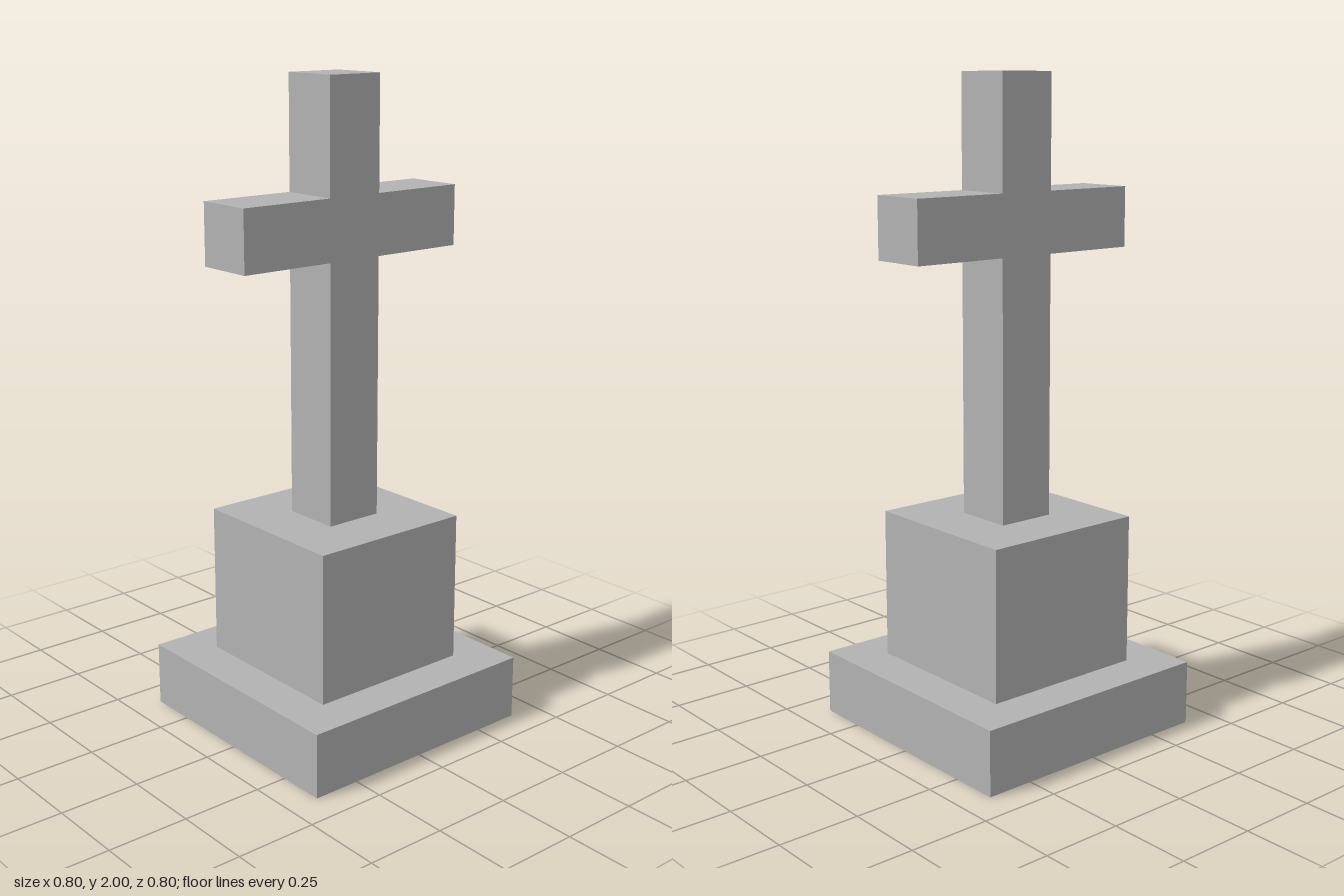
import * as THREE from 'three';

export function createModel() {
  const model = new THREE.Group();
  model.name = 'stoneCross';
  const stone = new THREE.MeshStandardMaterial({ color: 0xb2b2b2 });
  stone.name = 'greyStone';

  const add = (name, geometry, y, z = 0) => {
    const mesh = new THREE.Mesh(geometry, stone);
    mesh.name = name;
    mesh.position.set(0, y, z);
    model.add(mesh);
  };

  // Stepped base
  const plinthTop = 0.2, pedestalTop = 0.667;
  add('plinth', new THREE.BoxGeometry(0.8, plinthTop, 0.8), plinthTop / 2);
  const pedestalHeight = pedestalTop - plinthTop;
  add('pedestal', new THREE.BoxGeometry(0.533, pedestalHeight, 0.533), plinthTop + pedestalHeight / 2);

  // Cross cut as one outline, mirrored about its centre line
  const half = 0.093, reach = 0.4, armBottom = 1.47, armTop = 1.656, top = 2;
  const side = [
    [half, pedestalTop], [half, armBottom], [reach, armBottom],
    [reach, armTop], [half, armTop], [half, top],
  ];
  const outline = [...side, ...side.map(([x, y]) => [-x, y]).reverse()];
  const shape = new THREE.Shape(outline.map(([x, y]) => new THREE.Vector2(x, y)));
  add('cross', new THREE.ExtrudeGeometry(shape, { depth: half * 2, bevelEnabled: false }), 0, -half);

  return model;
}
